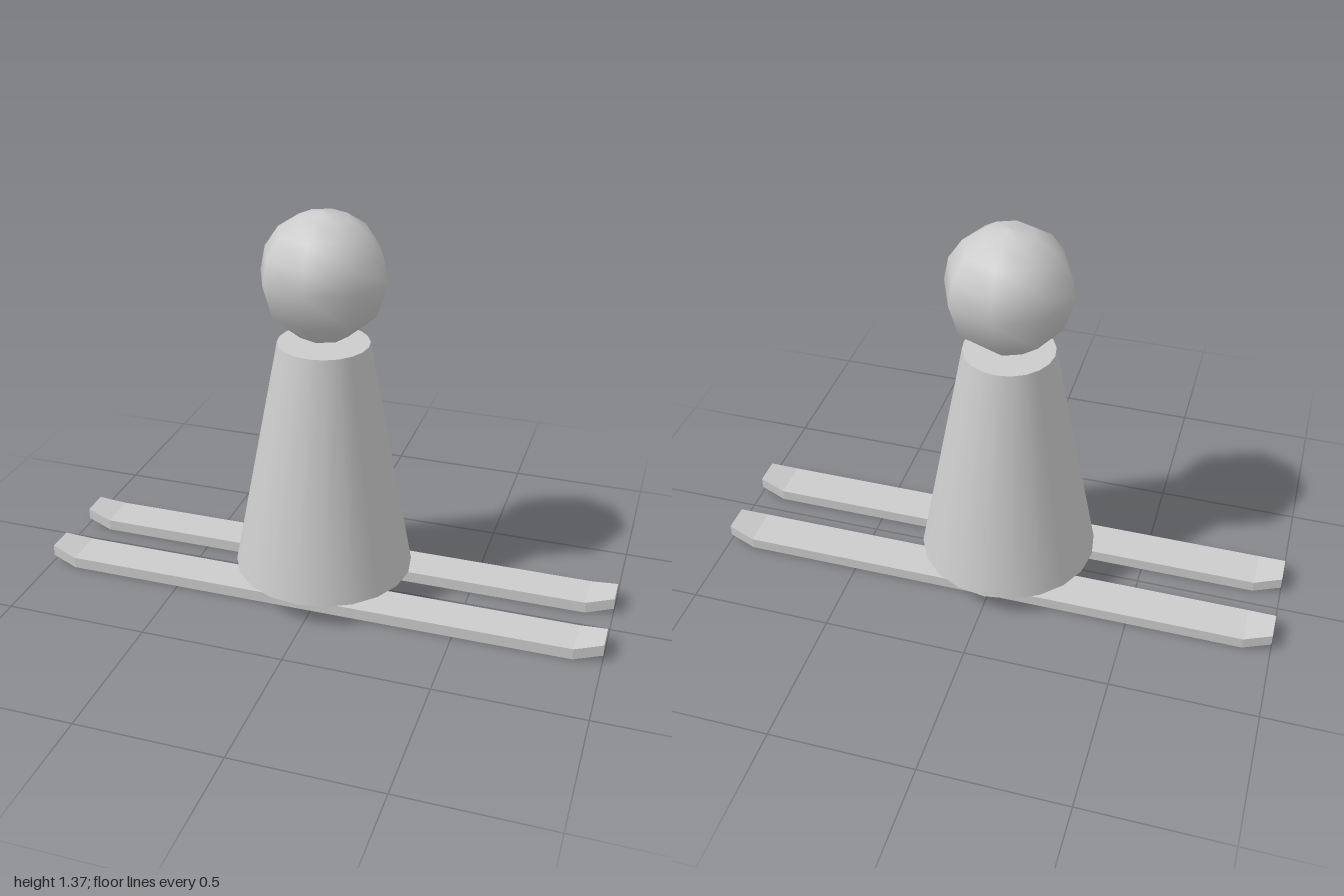
import * as THREE from 'three';

const CENTRE_X = -0.017;

// Ski: a thin plank whose two ends taper and lift
function skiGeometry() {
  const geometry = new THREE.BoxGeometry(2, 0.04, 0.142, 3, 1, 1);
  const p = geometry.attributes.position;
  for (let i = 0; i < p.count; i++) {
    const x = p.getX(i);
    const isTip = Math.abs(x) > 0.9;
    p.setX(i, Math.sign(x) * (isTip ? 1 : 0.905));
    p.setY(i, p.getY(i) + (isTip ? 0.041 : 0.02));
    if (isTip) p.setZ(i, p.getZ(i) * 0.69);
  }
  return geometry;
}

export function createModel() {
  const model = new THREE.Group();
  const smooth = new THREE.MeshStandardMaterial({ color: 0xcccccc, side: THREE.DoubleSide });
  const flat = new THREE.MeshStandardMaterial({ color: 0xcccccc, flatShading: true });

  const add = (name, geometry, material, x, y, z) => {
    const mesh = new THREE.Mesh(geometry, material);
    mesh.name = name;
    mesh.position.set(x, y, z);
    model.add(mesh);
    return mesh;
  };

  // Body: tapered tube, open below and closed on top
  add('body', new THREE.CylinderGeometry(0.155, 0.31, 0.835, 20, 1, true), smooth, CENTRE_X, 0.5075, 0);
  add('bodyTop', new THREE.CircleGeometry(0.155, 20), flat, CENTRE_X, 0.925, 0).rotation.x = -Math.PI / 2;

  // Head: eight-sided ball, cut flat underneath
  const radius = 0.217;
  const profile = [-67, -33.5, 0, 22.5, 45, 67.5, 90].map((degrees) => {
    const a = THREE.MathUtils.degToRad(degrees);
    return new THREE.Vector2(Math.max(0, radius * Math.cos(a)), radius * Math.sin(a));
  });
  add('head', new THREE.LatheGeometry(profile, 8), smooth, CENTRE_X, 1.154, 0);
  add('headBase', new THREE.CircleGeometry(profile[0].x, 8), flat, CENTRE_X, 1.154 + profile[0].y, 0)
    .rotation.x = Math.PI / 2;

  // Pair of skis
  const ski = skiGeometry();
  add('frontSki', ski, flat, 0, 0, 0.135);
  add('backSki', ski, flat, 0, 0, -0.146);

  return model;
}
